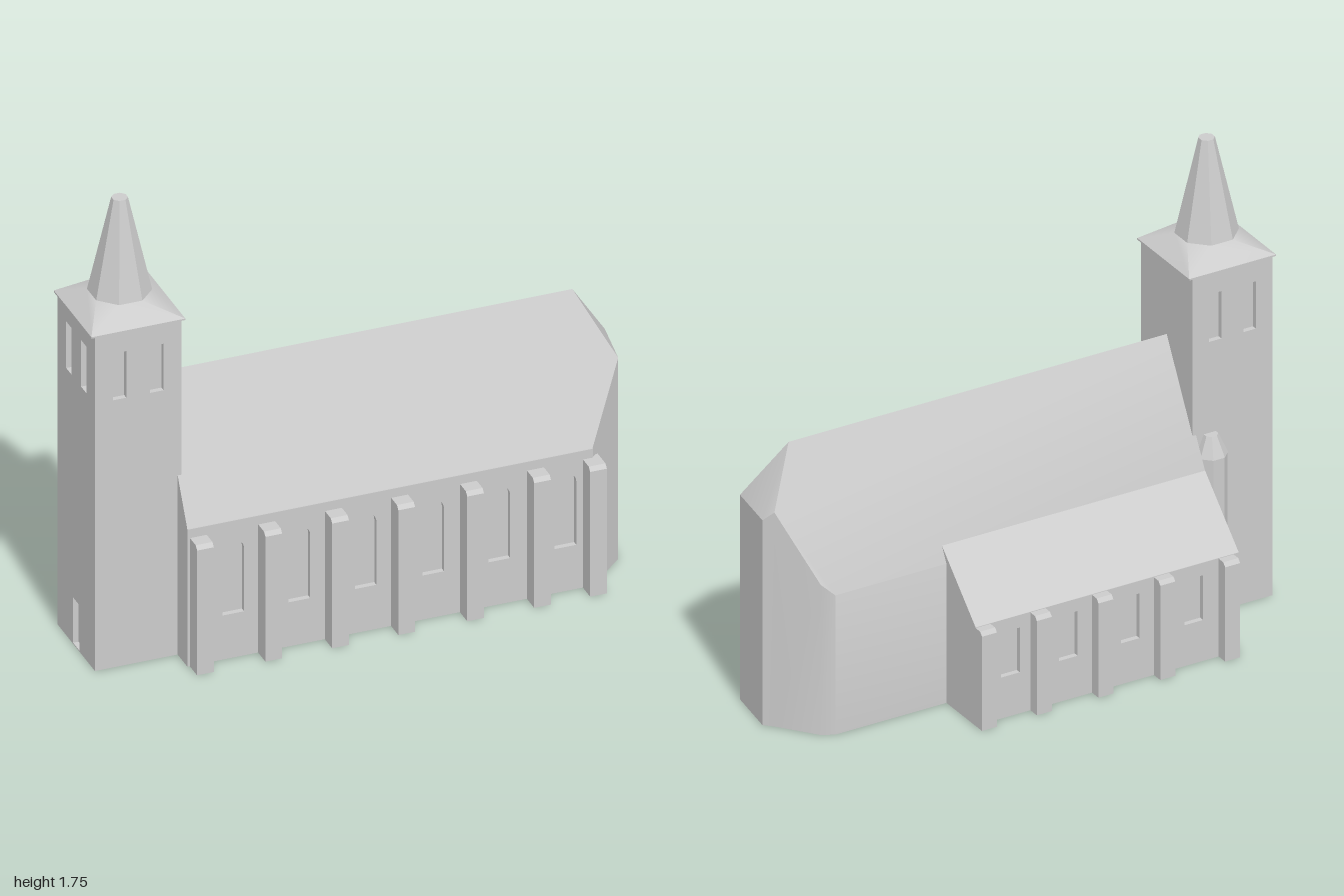
import * as THREE from 'three';
import { toCreasedNormals } from 'three/addons/utils/BufferGeometryUtils.js';

const stone = new THREE.MeshStandardMaterial({ color: 0xcccccc });
stone.name = 'stone';
const DEPTH = 0.02; // depth of window and door recesses
const AXIS = 0.085; // z of the ridge and the tower centre

function add(parent, name, geometry, x = 0, y = 0, z = 0) {
  const mesh = new THREE.Mesh(geometry, stone);
  mesh.name = name;
  mesh.position.set(x, y, z);
  parent.add(mesh);
  return mesh;
}

// Wall panel facing +z with openings { x, y, w, h, arch }
function wallPanel(w, h, openings = []) {
  const shape = new THREE.Shape();
  shape.moveTo(-w / 2, 0).lineTo(w / 2, 0).lineTo(w / 2, h).lineTo(-w / 2, h).closePath();
  for (const o of openings) {
    const hole = new THREE.Path();
    const r = o.w / 2;
    hole.moveTo(o.x - r, o.y);
    if (o.arch) {
      hole.lineTo(o.x - r, o.y + o.h - r);
      hole.absarc(o.x, o.y + o.h - r, r, Math.PI, 0, true);
    } else {
      hole.lineTo(o.x - r, o.y + o.h).lineTo(o.x + r, o.y + o.h);
    }
    hole.lineTo(o.x + r, o.y).closePath();
    shape.holes.push(hole);
  }
  return new THREE.ExtrudeGeometry(shape, { depth: DEPTH, bevelEnabled: false, curveSegments: 10 });
}

// Solid from convex polygons, each listed counter-clockwise from outside
function polySolid(polygons) {
  const pos = [];
  for (const p of polygons) {
    for (let i = 1; i < p.length - 1; i++) pos.push(...p[0], ...p[i], ...p[i + 1]);
  }
  const g = new THREE.BufferGeometry();
  g.setAttribute('position', new THREE.Float32BufferAttribute(pos, 3));
  g.computeVertexNormals();
  return toCreasedNormals(g, 0.5);
}

// Extrude a (z, y) profile along x, centred on x
function alongX(profile, length) {
  const shape = new THREE.Shape(profile.map(([z, y]) => new THREE.Vector2(-z, y)));
  const g = new THREE.ExtrudeGeometry(shape, { depth: length, bevelEnabled: false });
  return g.translate(0, 0, -length / 2).rotateY(Math.PI / 2);
}

function octagon(rTop, rBottom, h) {
  const g = new THREE.CylinderGeometry(rTop, rBottom, h, 8).toNonIndexed();
  g.rotateY(Math.PI / 8).translate(0, h / 2, 0);
  g.computeVertexNormals();
  return g;
}

function buildNave() {
  const nave = new THREE.Group();
  nave.name = 'nave';
  const roofY = (z) => 1.03 - 1.85 * Math.abs(z - AXIS);
  // Footprint, front west corner first, round the apse to the back
  const plan = [[-0.68, 0.347], [0.82, 0.347], [0.97, 0.21], [1, 0.01],
    [0.97, -0.02], [0.865, -0.155], [0.82, -0.178], [-0.68, -0.178]];
  const low = plan.map(([x, z]) => [x, 0, z]);
  const high = plan.map(([x, z], i) => [x, i === 3 ? 0.8 : roofY(z), z]);
  const [A, B, F, E, P, Q, C, D] = high;
  const ridgeEast = [0.85, 1.03, AXIS];
  const ridgeWest = [-0.68, 1.03, AXIS];
  const faces = [
    [A, B, F, ridgeEast, ridgeWest],
    [P, Q, C, D, ridgeWest, ridgeEast],
    [F, E, ridgeEast], [E, P, ridgeEast],
    [low[7], low[0], A, ridgeWest, D],
    [...low].reverse(),
  ];
  for (let i = 0; i < 7; i++) {
    // the front wall is set back behind the window panel
    const back = (p) => (i === 0 ? [p[0], p[1], p[2] - DEPTH] : p);
    faces.push([low[i], low[i + 1], high[i + 1], high[i]].map(back));
  }
  add(nave, 'naveAndApse', polySolid(faces));

  const windows = [-0.51, -0.265, -0.02, 0.23, 0.475, 0.72]
    .map((x) => ({ x: x - 0.07, y: 0.175, w: 0.08, h: 0.29, arch: true }));
  add(nave, 'frontWall', wallPanel(1.5, roofY(0.347) - 0.002, windows), 0.07, 0, 0.347 - DEPTH);
  add(nave, 'frontEave', new THREE.BoxGeometry(1.5, 0.035, 0.006), 0.07, 0.527, 0.347);

  const profile = [[0.33, 0], [0.415, 0], [0.415, 0.495], [0.402, 0.509], [0.33, 0.509]];
  for (const x of [-0.64, -0.387, -0.14, 0.105, 0.36, 0.608, 0.815]) {
    add(nave, 'frontButtress', alongX(profile, 0.062), x);
  }
  return nave;
}

function buildAisle() {
  const aisle = new THREE.Group();
  aisle.name = 'sideAisle';
  const mid = -0.1525;
  const wallZ = -0.372;
  const core = [[-0.12, 0], [-0.12, 0.58], [-0.148, 0.6], [wallZ, 0.385], [wallZ + DEPTH, 0.375], [wallZ + DEPTH, 0]];
  add(aisle, 'aisleBody', alongX(core.reverse(), 1.055), mid);
  const windows = [-0.5, -0.245, 0.003, 0.235]
    .map((x) => ({ x: mid - x, y: 0.16, w: 0.075, h: 0.175 }));
  add(aisle, 'aisleWall', wallPanel(1.055, 0.384, windows), mid, 0, wallZ + DEPTH).rotation.y = Math.PI;
  const profile = [[-0.355, 0], [-0.355, 0.382], [-0.403, 0.382], [-0.415, 0.368], [-0.415, 0]];
  for (const x of [-0.63, -0.37, -0.122, 0.125, 0.345]) {
    add(aisle, 'aisleButtress', alongX(profile, 0.06), x);
  }
  return aisle;
}

// Low roof running from a square eave to an octagon
function towerRoofGeometry(half, apothem, h) {
  const pos = [], index = [];
  const r = apothem / Math.cos(Math.PI / 8);
  for (let i = 0; i < 8; i++) {
    const a = Math.PI / 8 + (i * Math.PI) / 4;
    const c = Math.cos(a), s = Math.sin(a);
    pos.push(Math.sign(c) * half, 0, Math.sign(s) * half, c * r, h, s * r);
    const j = (i + 1) % 8;
    index.push(2 * i, 2 * i + 1, 2 * j + 1, 2 * i, 2 * j + 1, 2 * j);
  }
  const g = new THREE.BufferGeometry();
  g.setAttribute('position', new THREE.Float32BufferAttribute(pos, 3));
  g.setIndex(index);
  g.computeVertexNormals();
  return g;
}

function buildTower() {
  const tower = new THREE.Group();
  tower.name = 'tower';
  tower.position.set(-0.826, 0, AXIS);
  const w = 0.32, d = 0.345, h = 1.325;
  add(tower, 'towerCore', new THREE.BoxGeometry(w - 2 * DEPTH, h, d - 2 * DEPTH), 0, h / 2, 0);
  const pair = [-0.069, 0.069].map((x) => ({ x, y: 1.06, w: 0.05, h: 0.185 }));
  const door = { x: 0, y: 0.004, w: 0.06, h: 0.18 };
  const sides = [
    ['towerFront', w, d, pair], ['towerEast', d, w, []],
    ['towerBack', w, d, pair], ['towerWest', d, w, [...pair, door]],
  ];
  sides.forEach(([name, width, across, openings], i) => {
    const side = new THREE.Group();
    side.rotation.y = (i * Math.PI) / 2;
    add(side, name, wallPanel(width, h, openings), 0, 0, across / 2 - DEPTH);
    tower.add(side);
  });
  add(tower, 'towerEave', new THREE.BoxGeometry(0.348, 0.006, 0.348), 0, h, 0);
  add(tower, 'towerRoof', towerRoofGeometry(0.174, 0.104, 0.062), 0, h + 0.003, 0);
  add(tower, 'spire', octagon(0.029, 0.1126, 0.367), 0, 1.388, 0);
  return tower;
}

// Stair turret in the corner between tower and aisle
function buildTurret() {
  const turret = new THREE.Group();
  turret.name = 'stairTurret';
  turret.position.set(-0.735, 0, -0.095);
  add(turret, 'turretShaft', octagon(0.058, 0.058, 0.63));
  add(turret, 'turretCap', octagon(0.026, 0.06, 0.075), 0, 0.63, 0);
  return turret;
}

export function createModel() {
  const model = new THREE.Group();
  model.name = 'church';
  model.add(buildNave(), buildAisle(), buildTower(), buildTurret());
  return model;
}
